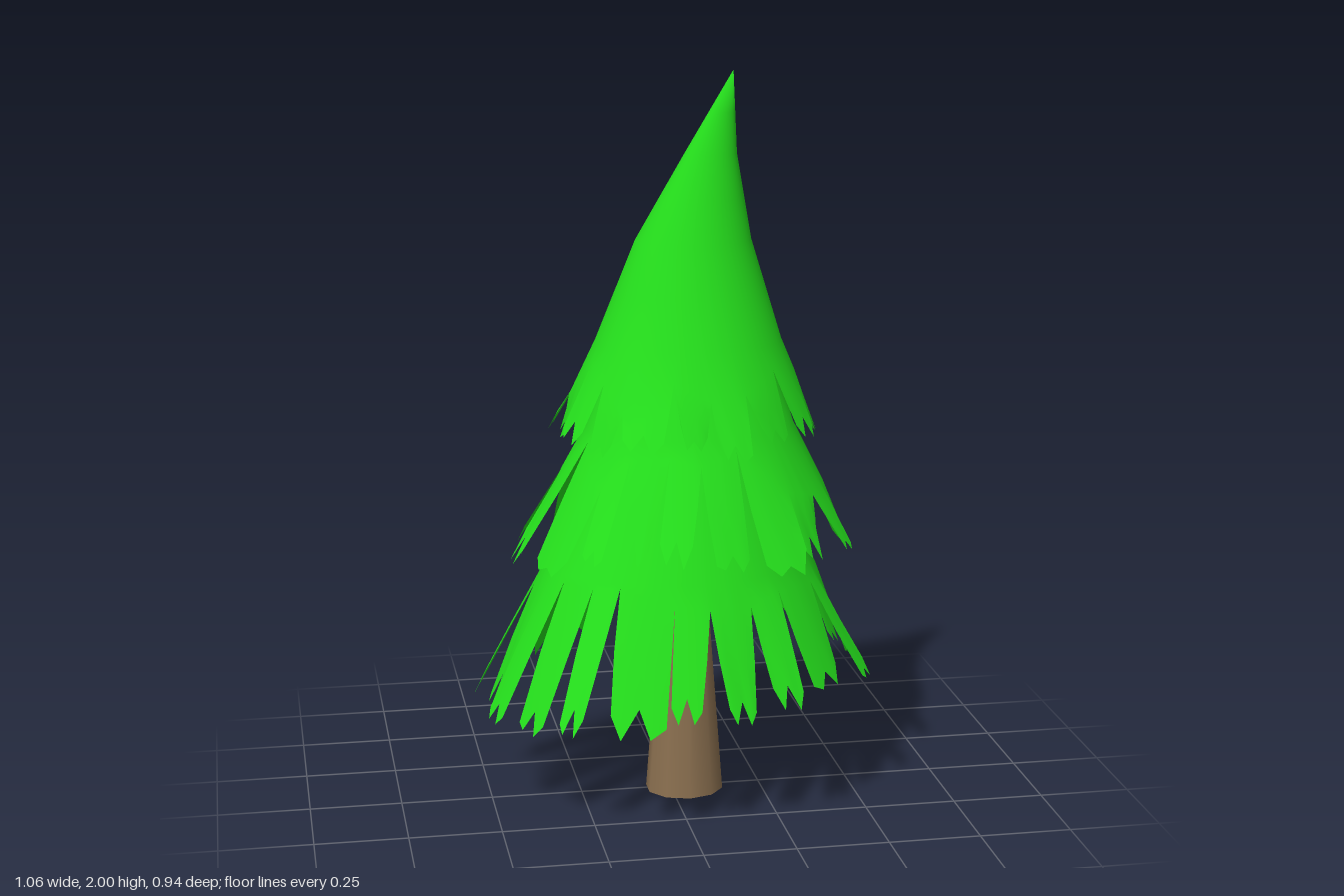
import * as THREE from 'three';
import { mergeVertices } from 'three/addons/utils/BufferGeometryUtils.js';

// small seeded generator in 0..1
function seeded(seed) {
  let s = seed;
  return () => (s = (s * 16807) % 2147483647) / 2147483647;
}

// point on a leaning elliptical cone; rings are [y, centreX, centreZ, radiusX, radiusZ]
function conePoint(rings, t, angle, lift, tilt) {
  const i = Math.min(Math.floor(t), rings.length - 2);
  const [y, cx, cz, rx, rz] = rings[i].map((v, k) => THREE.MathUtils.lerp(v, rings[i + 1][k], t - i));
  const c = Math.cos(angle), s = Math.sin(angle);
  const drop = t / (rings.length - 1);
  return [cx + rx * c * lift, y + (tilt[0] * c + tilt[1] * s) * drop ** 3, cz + rz * s * lift];
}

// one skirt of foliage, cut from its hem upwards into jagged blades
function foliageTier({ rings, blades, slit, gap, reach, tilt, seed }) {
  const rand = seeded(seed);
  const between = ([a, b]) => a + (b - a) * rand();
  const end = rings.length - 1;
  const bounds = [], slits = [];
  for (let b = 0; b < blades; b++) {
    bounds.push(((b + (rand() - 0.5) * 0.5) / blades) * Math.PI * 2);
    slits.push(between(slit));
  }
  bounds.push(bounds[0] + Math.PI * 2);
  slits.push(slits[0]);

  const upper = [];
  for (let t = 0; t < slit[0]; t += 0.5) upper.push(t);
  const cols = 5, rows = upper.length + 3;
  const positions = [], index = [];

  for (let b = 0; b < blades; b++) {
    const base = positions.length / 3;
    const width = 1 - between(gap);
    const tip = end - rand() * reach * 0.5;
    const flare = (b % 2 ? 1.02 : 0.95) + (rand() - 0.5) * 0.05;
    const skew = (rand() - 0.5) * 0.25;
    // ragged end: two or three sharp teeth of differing length
    const teeth = [0.55, 0, 0.65, 0.1, 0.7].map((d) => tip - d * (0.3 + rand()) * reach);
    for (let r = 0; r < rows; r++) {
      for (let c = 0; c < cols; c++) {
        const u = c / (cols - 1);
        const root = THREE.MathUtils.lerp(slits[b], slits[b + 1], u);
        const f = Math.max(0, r - upper.length) / 2;
        const t = r < upper.length ? upper[r] : THREE.MathUtils.lerp(root, teeth[c], f);
        const w = 0.5 + (u - 0.5) * (1 - (1 - width) * f) + skew * f;
        const angle = THREE.MathUtils.lerp(bounds[b], bounds[b + 1], w);
        positions.push(...conePoint(rings, t, angle, 1 + (flare - 1) * f, tilt));
      }
    }
    for (let r = 0; r < rows - 1; r++) {
      for (let c = 0; c < cols - 1; c++) {
        const a = base + r * cols + c, d = a + cols;
        index.push(a, a + 1, d, a + 1, d + 1, d);
      }
    }
  }
  let geometry = new THREE.BufferGeometry();
  geometry.setAttribute('position', new THREE.Float32BufferAttribute(positions, 3));
  geometry.setIndex(index);
  geometry = mergeVertices(geometry, 1e-4);
  geometry.computeVertexNormals();
  return geometry;
}

export function createModel() {
  const tree = new THREE.Group();
  tree.name = 'pineTree';
  const green = new THREE.MeshStandardMaterial({ color: 0x25e01c, side: THREE.DoubleSide });
  const brown = new THREE.MeshStandardMaterial({ color: 0x8b7050, side: THREE.DoubleSide });

  // tapered hollow trunk
  const trunk = new THREE.Mesh(new THREE.CylinderGeometry(0.06, 0.108, 0.63, 10, 1, true), brown);
  trunk.name = 'trunk';
  trunk.scale.z = 0.9;
  trunk.position.set(0.038, 0.315, 0.008);
  tree.add(trunk);

  // three overlapping tiers, the highest ending in a bent tip
  const tiers = {
    lowerFoliage: {
      rings: [[1.1, 0.06, 0.02, 0.17, 0.16], [0.68, 0.02, 0.01, 0.36, 0.31], [0.3, 0, 0, 0.55, 0.475]],
      blades: 21, slit: [1.02, 1.2], gap: [0.25, 0.5], reach: 0.25, tilt: [0.06, 0], seed: 17,
    },
    middleFoliage: {
      rings: [[1.45, 0.06, 0.03, 0.14, 0.12], [1.05, 0.05, 0.02, 0.28, 0.25], [0.67, 0.04, 0.01, 0.48, 0.43]],
      blades: 20, slit: [1.05, 1.5], gap: [0.15, 0.45], reach: 0.26, tilt: [0, 0.04], seed: 91,
    },
    upperFoliage: {
      rings: [
        [2, 0.15, 0.09, 0, 0], [1.78, 0.095, 0.065, 0.07, 0.048], [1.55, 0.055, 0.035, 0.155, 0.125],
        [1.28, 0.045, 0.02, 0.25, 0.22], [1.01, 0.04, 0.01, 0.37, 0.335],
      ],
      blades: 17, slit: [3.1, 3.6], gap: [0.15, 0.4], reach: 0.28, tilt: [0, 0], seed: 403,
    },
  };
  for (const [name, options] of Object.entries(tiers)) {
    const mesh = new THREE.Mesh(foliageTier(options), green);
    mesh.name = name;
    tree.add(mesh);
  }
  return tree;
}
